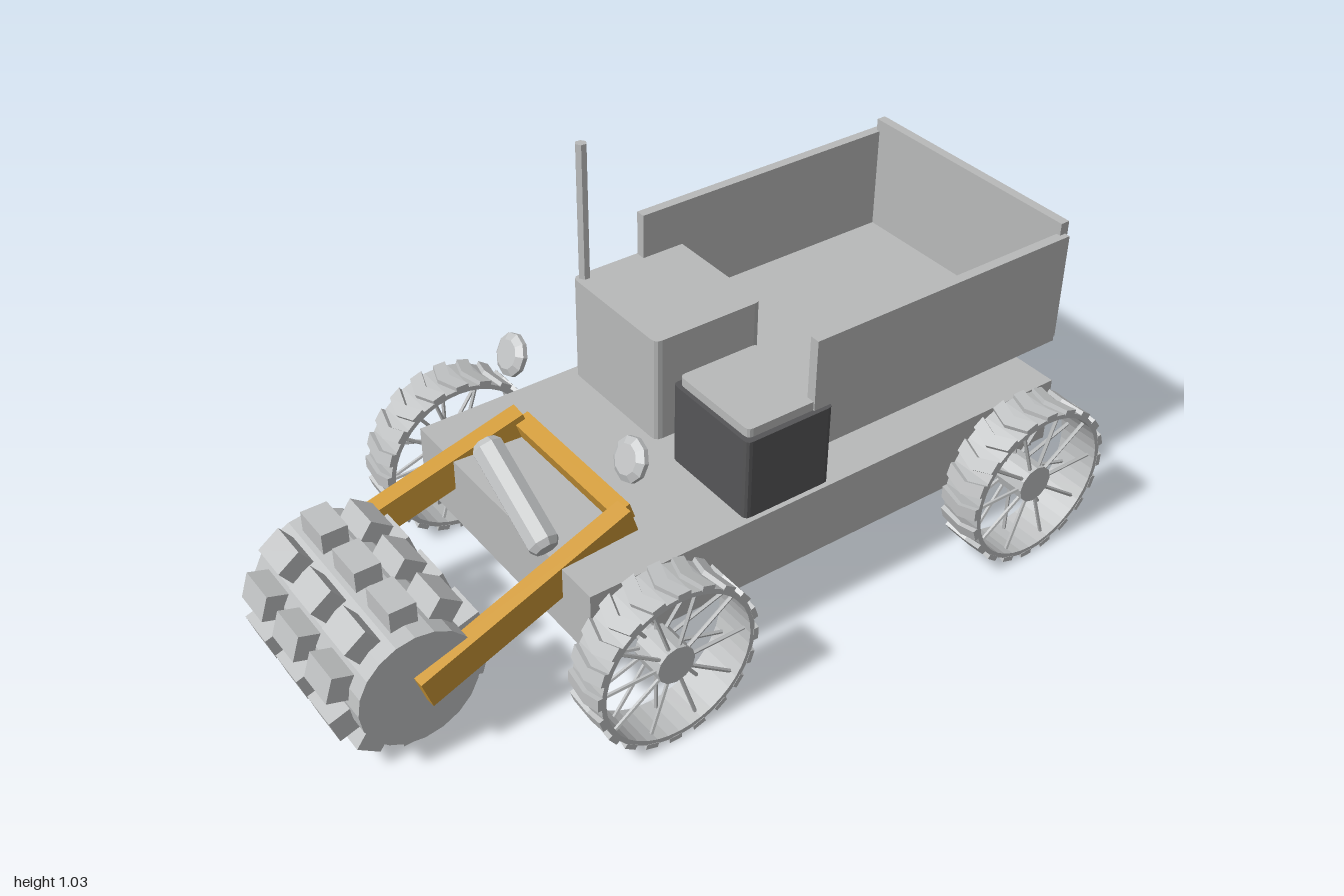
import * as THREE from 'three';

const material = (name, color) => {
  const m = new THREE.MeshStandardMaterial({ color });
  m.name = name;
  return m;
};

// Faceted copy of a geometry
function faceted(geo) {
  const g = geo.index ? geo.toNonIndexed() : geo;
  g.computeVertexNormals();
  return g;
}

function add(parent, name, geo, mat, x = 0, y = 0, z = 0) {
  const mesh = new THREE.Mesh(geo, mat);
  mesh.name = name;
  mesh.position.set(x, y, z);
  parent.add(mesh);
  return mesh;
}

// Box given by its limits on each axis
function block(parent, name, mat, [x0, x1], [y0, y1], [z0, z1]) {
  return add(parent, name, new THREE.BoxGeometry(x1 - x0, y1 - y0, z1 - z0), mat,
    (x0 + x1) / 2, (y0 + y1) / 2, (z0 + z1) / 2);
}

// Upright box with rounded vertical edges
function roundedBlock(parent, name, mat, [x0, x1], [y0, y1], [z0, z1], r) {
  const s = new THREE.Shape();
  s.moveTo(x0 + r, -z1);
  s.lineTo(x1 - r, -z1);
  s.quadraticCurveTo(x1, -z1, x1, -z1 + r);
  s.lineTo(x1, -z0 - r);
  s.quadraticCurveTo(x1, -z0, x1 - r, -z0);
  s.lineTo(x0 + r, -z0);
  s.quadraticCurveTo(x0, -z0, x0, -z0 - r);
  s.lineTo(x0, -z1 + r);
  s.quadraticCurveTo(x0, -z1, x0 + r, -z1);
  const geo = new THREE.ExtrudeGeometry(s, { depth: y1 - y0, bevelEnabled: false, curveSegments: 3 });
  geo.rotateX(-Math.PI / 2);
  return add(parent, name, geo, mat, 0, y0, 0);
}

function lathe(points, sides) {
  return faceted(new THREE.LatheGeometry(points.map(p => new THREE.Vector2(...p)), sides));
}

// Place a mesh built along y so that it spans two points
function span(mesh, a, b) {
  mesh.position.copy(a).lerp(b, 0.5);
  mesh.quaternion.setFromUnitVectors(new THREE.Vector3(0, 1, 0), b.clone().sub(a).normalize());
  return mesh;
}

const V = (x, y, z) => new THREE.Vector3(x, y, z);

// Spoked wheel with chevron cleats, axle along x
function makeWheel(mat) {
  const wheel = new THREE.Group();
  const rim = lathe([[0.194, -0.057], [0.206, -0.057], [0.206, 0.057], [0.194, 0.057], [0.194, -0.057]], 40);
  add(wheel, 'rim', rim, mat).rotation.z = Math.PI / 2;
  const hub = faceted(new THREE.CylinderGeometry(0.05, 0.05, 0.09, 12));
  add(wheel, 'hub', hub, mat).rotation.z = Math.PI / 2;

  const chevron = new THREE.Shape([[-0.058, 0], [0, -0.02], [0.058, 0], [0.058, 0.034], [0, 0.014], [-0.058, 0.034]]
    .map(p => new THREE.Vector2(...p)));
  const cleat = new THREE.ExtrudeGeometry(chevron, { depth: 0.013, bevelEnabled: false });
  cleat.translate(0, -0.007, 0.203);
  const spoke = faceted(new THREE.CylinderGeometry(0.005, 0.005, 0.158, 5));
  for (let i = 0; i < 20; i++) {
    const a = (i / 20) * Math.PI * 2;
    add(wheel, 'cleat', cleat, mat).rotation.x = a;
    // Spokes alternate between the two sides of the rim
    const side = i % 2 ? 0.034 : -0.034;
    const dir = V(0, Math.cos(a), Math.sin(a));
    span(add(wheel, 'spoke', spoke, mat),
      dir.clone().multiplyScalar(0.042).setX(side), dir.clone().multiplyScalar(0.198).setX(side));
  }
  return wheel;
}

export function createModel() {
  const body = material('bodyGrey', 0xb9baba);
  const metal = material('lightMetal', 0xbfc1c2);
  const yellow = material('armYellow', 0xd09a38);
  const dark = material('darkGrey', 0x555557);
  const model = new THREE.Group();
  model.name = 'rollerTruck';

  // Chassis
  block(model, 'chassis', body, [-0.37, 0.37], [0.208, 0.387], [-0.95, 0.44]);
  for (const s of [-1, 1]) {
    add(model, 'chassisRail', new THREE.BoxGeometry(0.05, 0.02, 1.36), body, s * 0.335, 0.2, -0.24);
  }

  // Open cargo bed
  const bed = new THREE.Group();
  bed.name = 'cargoBed';
  model.add(bed);
  block(bed, 'bedFloor', body, [-0.345, 0.345], [0.49, 0.515], [-0.96, -0.19]);
  block(bed, 'bedSideRight', body, [-0.348, -0.322], [0.505, 0.79], [-0.962, -0.187]);
  block(bed, 'bedSideLeft', body, [0.32, 0.346], [0.505, 0.79], [-0.962, -0.187]);
  block(bed, 'tailgate', body, [-0.333, 0.331], [0.505, 0.822], [-0.97, -0.945]);

  // Engine housing, seat and exhaust
  roundedBlock(model, 'engineHousing', body, [-0.35, 0], [0.385, 0.67], [-0.305, 0.005], 0.02);
  roundedBlock(model, 'seatBase', dark, [0.075, 0.357], [0.385, 0.602], [-0.235, 0.01], 0.015);
  roundedBlock(model, 'seatCushion', body, [0.085, 0.342], [0.6, 0.625], [-0.225, -0.002], 0.015);
  const pipe = faceted(new THREE.CylinderGeometry(0.015, 0.015, 0.352, 6));
  span(add(model, 'exhaustPipe', pipe, body), V(-0.315, 0.685, -0.008), V(-0.334, 1.035, -0.02));

  // Tilted lamps
  const lamp = lathe([[0, -0.017], [0.036, -0.017], [0.053, -0.006], [0.053, 0.006], [0.036, 0.017], [0, 0.017]], 10);
  for (const s of [-1, 1]) {
    add(model, 'lamp', lamp, metal, s * 0.246, 0.596, 0.245).rotation.x = Math.PI / 2 - 0.42;
  }

  // Slanted canister
  const canister = lathe([[0, -0.14], [0.027, -0.14], [0.038, -0.125], [0.038, 0.125], [0.027, 0.14], [0, 0.14]], 8);
  span(add(model, 'canister', canister, metal), V(0.036, 0.618, 0.487), V(0.277, 0.482, 0.487));

  // Roller arms and crossbar
  for (const s of [-1, 1]) {
    const back = V(s * 0.222, 0.414, 0.237), front = V(s * 0.257, 0.228, 0.803);
    const arm = add(model, 'rollerArm', new THREE.BoxGeometry(0.048, 0.08, back.distanceTo(front)), yellow);
    arm.position.copy(back).lerp(front, 0.5);
    arm.lookAt(front);
  }
  add(model, 'armCrossbar', new THREE.BoxGeometry(0.43, 0.045, 0.045), yellow, 0, 0.414, 0.243).rotation.x = 0.32;

  // Studded roller
  const roller = new THREE.Group();
  roller.name = 'roller';
  roller.position.set(0, 0.228, 0.803);
  model.add(roller);
  add(roller, 'drum', faceted(new THREE.CylinderGeometry(0.149, 0.149, 0.505, 20)), metal).rotation.z = Math.PI / 2;
  const lug = new THREE.BoxGeometry(0.102, 0.06, 0.066);
  lug.translate(0, 0.168, 0);
  for (let i = 0; i < 10; i++) {
    for (const x of [-0.155, 0, 0.155]) {
      add(roller, 'lug', lug, metal, x).rotation.x = (i / 10) * Math.PI * 2;
    }
  }

  // Wheels and axle stubs
  const stub = faceted(new THREE.CylinderGeometry(0.034, 0.018, 0.08, 10));
  for (const z of [0.308, -0.783]) {
    for (const s of [-1, 1]) {
      const wheel = makeWheel(metal);
      wheel.name = z > 0 ? 'frontWheel' : 'rearWheel';
      wheel.position.set(s * 0.462, 0.22, z);
      model.add(wheel);
      span(add(model, 'axleStub', stub, metal), V(s * 0.35, 0.232, z), V(s * 0.43, 0.226, z));
    }
  }
  return model;
}
